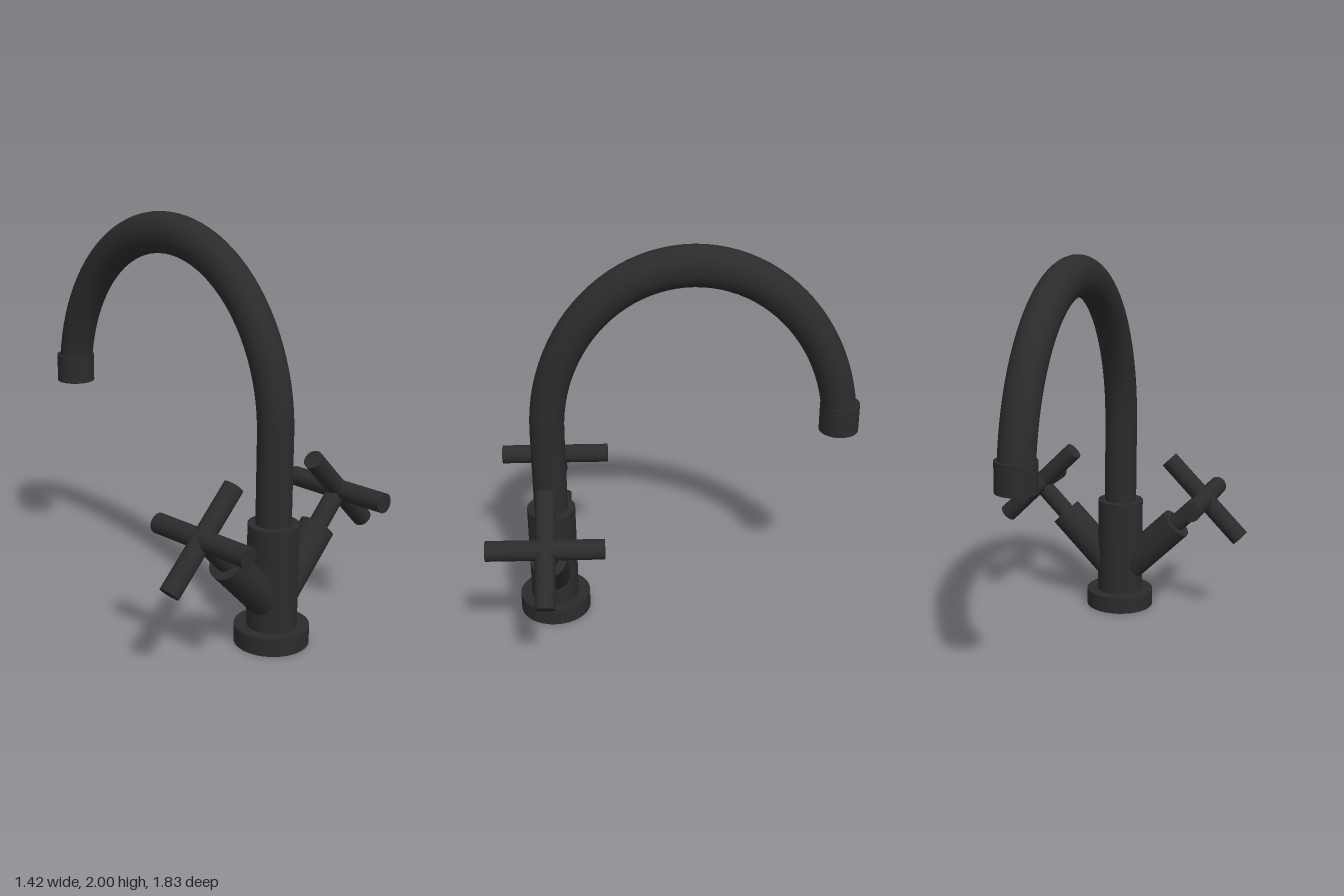
import * as THREE from 'three';

export function createModel() {
  const model = new THREE.Group();
  model.name = 'tap';
  const material = new THREE.MeshStandardMaterial({ color: 0x2b2b2b });
  const up = new THREE.Vector3(0, 1, 0);

  const columnZ = 0.632;
  const nozzleZ = -0.817;
  const archY = 1.042;
  const pipeRadius = 0.086;

  const add = (parent, name, geometry) => {
    const mesh = new THREE.Mesh(geometry, material);
    mesh.name = name;
    parent.add(mesh);
    return mesh;
  };

  // Closed cylinder between two points
  const rod = (parent, name, radius, from, to, sides = 40) => {
    const a = new THREE.Vector3(...from);
    const b = new THREE.Vector3(...to);
    const mesh = add(parent, name, new THREE.CylinderGeometry(radius, radius, a.distanceTo(b), sides));
    mesh.position.copy(a).lerp(b, 0.5);
    mesh.quaternion.setFromUnitVectors(up, b.sub(a).normalize());
    return mesh;
  };

  // Foot and column
  rod(model, 'base', 0.182, [0, 0, columnZ], [0, 0.09, columnZ], 48);
  rod(model, 'body', 0.123, [0, 0.09, columnZ], [0, 0.605, columnZ], 48);
  rod(model, 'riserPipe', pipeRadius, [0, 0.55, columnZ], [0, archY, columnZ]);

  // Arched spout: a half ring stretched slightly upwards
  const archRadius = (columnZ - nozzleZ) / 2;
  const arch = new THREE.TorusGeometry(archRadius, pipeRadius, 40, 48, Math.PI);
  arch.rotateY(Math.PI / 2);
  arch.scale(1, (2 - archY) / (archRadius + pipeRadius), 1);
  add(model, 'spoutArch', arch).position.set(0, archY, (columnZ + nozzleZ) / 2);
  rod(model, 'nozzle', 0.098, [0, 1.03, nozzleZ], [0, 1.175, nozzleZ]);

  // Two mirrored valves, each leaning outwards at 45 degrees
  const axisY = 0.178;
  const hubX = 0.477;
  const armHalf = 0.284;
  for (const [side, name] of [[1, 'leftValve'], [-1, 'rightValve']]) {
    const valve = new THREE.Group();
    valve.name = name;
    valve.position.set(0, axisY, columnZ);
    model.add(valve);
    const d = armHalf * Math.SQRT1_2;
    rod(valve, 'sleeve', 0.088, [0.03 * side, 0.03, 0], [0.322 * side, 0.322, 0]);
    rod(valve, 'stem', 0.048, [0.3 * side, 0.3, 0], [hubX * side, hubX, 0], 32);
    rod(valve, 'tiltedHandleBar', 0.049, [(hubX + d) * side, hubX - d, 0], [(hubX - d) * side, hubX + d, 0], 32);
    rod(valve, 'levelHandleBar', 0.049, [hubX * side, hubX, -armHalf], [hubX * side, hubX, armHalf], 32);
  }

  return model;
}
